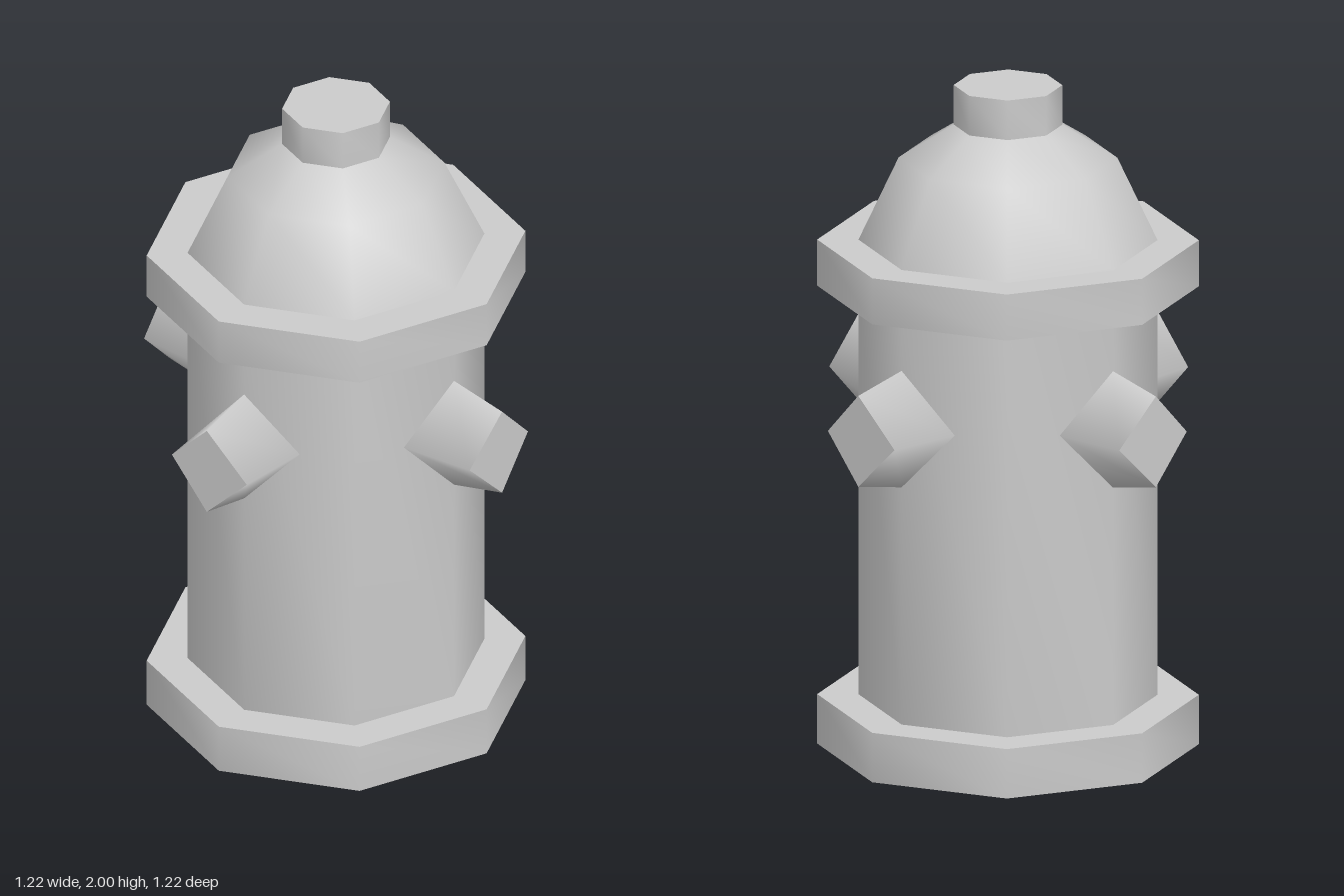
import * as THREE from 'three';
import { toCreasedNormals } from 'three/addons/utils/BufferGeometryUtils.js';

const SIDES = 8;
const material = new THREE.MeshStandardMaterial({ color: 0xcccccc, side: THREE.DoubleSide });

// Eight-sided turned part: smooth around, sharp at the rims
function turned(name, profile) {
  const points = profile.map(([r, y]) => new THREE.Vector2(r, y));
  const geometry = toCreasedNormals(new THREE.LatheGeometry(points, SIDES), THREE.MathUtils.degToRad(50));
  const mesh = new THREE.Mesh(geometry, material);
  mesh.name = name;
  return mesh;
}

// Four-sided tapered outlet on edge, its root cut to meet the corner of the barrel
function nozzleGeometry() {
  const geometry = new THREE.CylinderGeometry(0.138, 0.177, 0.2, 4, 1);
  geometry.rotateX(Math.PI / 2);
  const p = geometry.attributes.position;
  for (let i = 0; i < p.count; i++) {
    const x = p.getX(i);
    const isSide = Math.abs(x) > 0.05;
    if (p.getZ(i) > 0) {
      p.setZ(i, isSide ? 0.6 : 0.612);
    } else {
      if (isSide) p.setX(i, Math.sign(x) * 0.155);
      p.setZ(i, isSide ? 0.37 : 0.434);
    }
  }
  return geometry;
}

export function createModel() {
  const model = new THREE.Group();
  model.name = 'hydrant';

  // Hollow shell, open underneath
  model.add(
    turned('base', [[0.555, 0], [0.555, 0.15], [0.435, 0.15]]),
    turned('barrel', [[0.435, 0.15], [0.435, 1.39]]),
    turned('flange', [[0.435, 1.39], [0.555, 1.39], [0.555, 1.53], [0.435, 1.53]]),
    turned('dome', [[0.435, 1.53], [0.318, 1.78], [0.158, 1.88]]),
    turned('topNut', [[0.158, 1.88], [0.158, 2], [0, 2]])
  );

  // Outlets on all four sides
  const outlet = nozzleGeometry();
  ['frontNozzle', 'leftNozzle', 'backNozzle', 'rightNozzle'].forEach((name, i) => {
    const nozzle = new THREE.Mesh(outlet, material);
    nozzle.name = name;
    nozzle.position.y = 1.047;
    nozzle.rotation.y = i * Math.PI / 2;
    model.add(nozzle);
  });

  return model;
}
